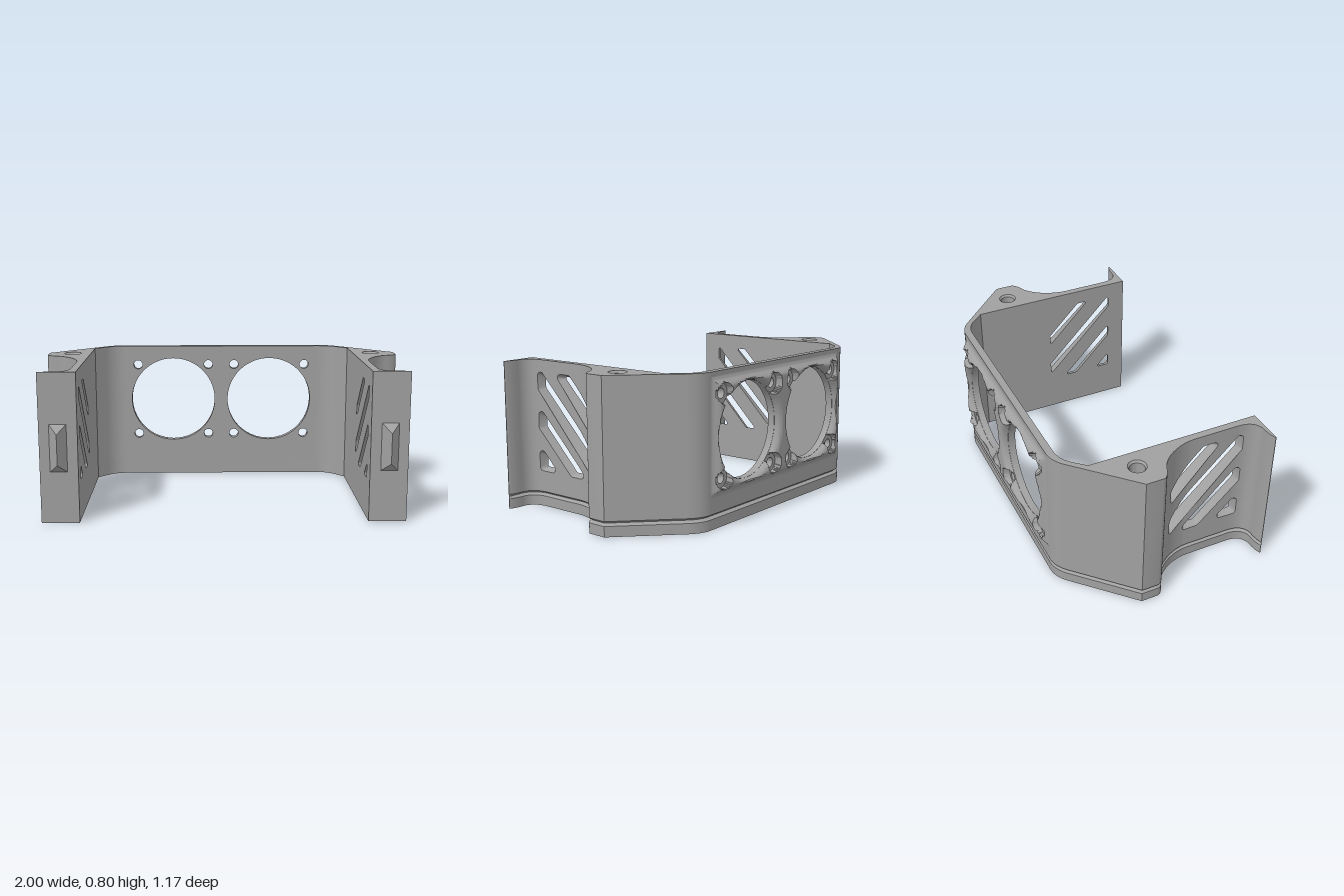
import * as THREE from 'three';
import { toCreasedNormals } from 'three/addons/utils/BufferGeometryUtils.js';
import { ConvexGeometry } from 'three/addons/geometries/ConvexGeometry.js';

const V = (x, y) => new THREE.Vector2(x, y);
const HEIGHT = 0.8, GROOVE = [0.055, 0.067, 0.08], INNER_X = 0.76;
const FAN = { x: 0.295, y: 0.47, r: 0.255, screw: 0.216, screwR: 0.027, boreR: 0.05 };
const BOLT = { x: 0.865, z: -0.19, r: 0.048 };

// Plan outline (x, z) of the outer face, from the back corner to the flange tip
const outerPath = new THREE.Path().moveTo(0.59, -0.55)
  .quadraticCurveTo(0.66, -0.55, 0.72, -0.485)
  .lineTo(1, -0.21).lineTo(1, -0.115)
  .quadraticCurveTo(0.995, -0.088, 0.93, -0.065)
  .bezierCurveTo(0.87, -0.04, 0.8, 0.06, 0.8, 0.165)
  .lineTo(0.8, 0.42)
  .quadraticCurveTo(0.805, 0.505, 0.87, 0.515)
  .quadraticCurveTo(0.93, 0.515, 0.96, 0.532);
const OUTER = outerPath.getPoints(10);
const INNER = new THREE.Path().moveTo(INNER_X, -0.4).lineTo(0.7, -0.465)
  .quadraticCurveTo(0.655, -0.51, 0.59, -0.51).getPoints(8);

// x of the outer face at a given z (front of the corner only)
function outerX(z) {
  for (let i = 1; i < OUTER.length; i++) {
    const a = OUTER[i - 1], b = OUTER[i];
    if (a.y > -0.12 && z >= a.y && z <= b.y && b.y > a.y) return a.x + (b.x - a.x) * (z - a.y) / (b.y - a.y);
  }
  return 0.8;
}

const finish = (g, crease = 0.5) => {
  const out = toCreasedNormals(g, crease);
  out.clearGroups();
  return out;
};

// Geometry from a list of four-cornered faces
function fromQuads(quads) {
  const pos = quads.flatMap(([a, b, c, d]) => [...a, ...b, ...c, ...a, ...c, ...d]);
  const g = new THREE.BufferGeometry();
  g.setAttribute('position', new THREE.Float32BufferAttribute(pos, 3));
  return finish(g);
}

// Mirror across x = 0 and restore the winding
function mirrored(g) {
  const m = g.clone().scale(-1, 1, 1);
  for (const at of Object.values(m.attributes)) {
    const n = at.itemSize, a = at.array;
    for (let i = 0; i < a.length; i += 3 * n)
      for (let k = 0; k < n; k++) [a[i + n + k], a[i + 2 * n + k]] = [a[i + 2 * n + k], a[i + n + k]];
  }
  return m;
}

const circleHole = (x, y, r, n) =>
  new THREE.Path(Array.from({ length: n }, (_, i) => V(x + r * Math.cos(i / n * 2 * Math.PI), y + r * Math.sin(i / n * 2 * Math.PI))));

// Upright prism over a plan outline
function prism(plan, y0, y1, bolt) {
  const s = new THREE.Shape(plan.map(p => V(p.x, -p.y)));
  if (bolt) s.holes.push(circleHole(BOLT.x, -BOLT.z, BOLT.r, 32));
  return finish(new THREE.ExtrudeGeometry(s, { depth: y1 - y0, bevelEnabled: false }).rotateX(-Math.PI / 2).translate(0, y0, 0));
}

// V groove running round the outer face
function grooveGeometry(outer, inner) {
  const inset = outer.map((p, i) => {
    const t = outer[Math.min(i + 1, outer.length - 1)].clone().sub(outer[Math.max(i - 1, 0)]).normalize();
    return V(i ? p.x - t.y * 0.018 : 0, Math.min(p.y + t.x * 0.018, 0.535));
  });
  const full = [...outer, ...inner], cut = [...inset, ...inner], quads = [];
  [[full, cut], [cut, full]].forEach(([lo, hi], k) => {
    for (let i = 0; i + 1 < full.length; i++) {
      const a = p => [p.x, GROOVE[k], p.y], b = p => [p.x, GROOVE[k + 1], p.y];
      quads.push([a(lo[i]), b(hi[i]), b(hi[i + 1]), a(lo[i + 1])]);
    }
  });
  return fromQuads(quads);
}

// Diagonal slot outlines (z, y) with rounded corners; inset shrinks them
function slotOutlines(inset, r) {
  const L = 0.45 - inset, R = 0.02 + inset, T = 0.735 - inset, B = 0.195 + inset, k = inset * Math.SQRT2;
  const band = (lo, hi, f) => f(lo + k, hi - k);
  const slots = [
    band(0.405, 0.517, (a, b) => [V(T - a, T), V(T - b, T), V(R, R + b), V(R, R + a)]),
    band(0.188, 0.312, (a, b) => [V(L, L + b), V(R, R + b), V(R, R + a), V(L, L + a)]),
    band(-0.022, 0.1, (a, b) => [V(L, L + b), V(B - b, B), V(B - a, B), V(L, L + a)]),
    band(-1, -0.115, (a, b) => [V(L, L + b), V(B - b, B), V(L, B)]),
  ];
  return slots.map(c => c.flatMap((p, i) => {
    const normal = (a, b) => { const d = b.clone().sub(a).normalize(); return V(d.y, -d.x); };
    const n1 = normal(c[(i + c.length - 1) % c.length], p), n2 = normal(p, c[(i + 1) % c.length]);
    const mid = p.clone().addScaledVector(n1.clone().add(n2), -r / (1 + n1.dot(n2)));
    const turn = (n2.angle() - n1.angle() + 2 * Math.PI) % (2 * Math.PI);
    return Array.from({ length: 7 }, (_, j) => {
      const t = n1.angle() + turn * j / 6;
      return V(mid.x + r * Math.cos(t), mid.y + r * Math.sin(t));
    });
  }));
}

// Lowest and highest y of a convex outline at z
function span(poly, z) {
  const zs = poly.map(p => p.x), ys = [];
  z = Math.min(Math.max(z, Math.min(...zs)), Math.max(...zs));
  poly.forEach((a, i) => {
    const b = poly[(i + 1) % poly.length];
    if (z < Math.min(a.x, b.x) || z > Math.max(a.x, b.x)) return;
    if (Math.abs(b.x - a.x) < 1e-9) ys.push(a.y, b.y);
    else ys.push(a.y + (b.y - a.y) * (z - a.x) / (b.x - a.x));
  });
  return [Math.min(...ys), Math.max(...ys)];
}

// Slotted side panel: outer and inner skins in vertical strips, tapered slot walls
function panelGeometry(z0, z1) {
  const quads = [], out = slotOutlines(0, 0.02), inn = slotOutlines(0.017, 0.008);
  const curve = OUTER.map(p => p.y).filter(z => z > z0 && z < z1);
  const skin = (holes, xAt, flip) => {
    const cuts = [z0, z1, ...curve, ...holes.flat().map(p => p.x)].sort((a, b) => a - b).filter((z, i, s) => !i || z - s[i - 1] > 1e-5);
    for (let i = 0; i + 1 < cuts.length; i++) {
      const a = cuts[i], b = cuts[i + 1], m = (a + b) / 2;
      const hit = holes.filter(h => h.some(p => p.x < m) && h.some(p => p.x > m)).sort((p, q) => span(p, m)[0] - span(q, m)[0]);
      const ya = [GROOVE[2], ...hit.flatMap(h => span(h, a)), HEIGHT], yb = [GROOVE[2], ...hit.flatMap(h => span(h, b)), HEIGHT];
      for (let k = 0; k < ya.length; k += 2) {
        const q = [[xAt(a), ya[k], a], [xAt(a), ya[k + 1], a], [xAt(b), yb[k + 1], b], [xAt(b), yb[k], b]];
        quads.push(flip ? q.reverse() : q);
      }
      if (!flip) quads.push([[INNER_X, HEIGHT, a], [INNER_X, HEIGHT, b], [xAt(b), HEIGHT, b], [xAt(a), HEIGHT, a]]);
    }
  };
  skin(out, outerX, false);
  skin(inn, () => INNER_X, true);
  out.forEach((poly, s) => poly.forEach((p, i) => {
    const j = (i + 1) % poly.length, o = q => [outerX(q.x), q.y, q.x], n = q => [INNER_X, q.y, q.x];
    quads.push([o(p), n(inn[s][i]), n(inn[s][j]), o(poly[j])]);
  }));
  return fromQuads(quads);
}

const fans = [-FAN.x, FAN.x].map(x => V(x, FAN.y));
const screws = fans.flatMap(f => [[1, 1], [1, -1], [-1, 1], [-1, -1]].map(([a, b]) => V(f.x + a * FAN.screw, f.y + b * FAN.screw)));
const nearest = (list, p) => list.reduce((a, b) => (a.distanceTo(p) < b.distanceTo(p) ? a : b));

// Raised pad behind the wall: a height rule with flared openings and counterbores
function padGeometry() {
  const nx = 160, ny = 82, h = 0.0075, pos = [], inside = [], index = [];
  for (let j = 0; j <= ny; j++) for (let i = 0; i <= nx; i++) {
    const p = V((i - nx / 2) * h, FAN.y + (j - ny / 2) * h);
    const f = nearest(fans, p), s = nearest(screws, p);
    const snap = (c, r) => p.sub(c).setLength(r).add(c);
    const rf = p.distanceTo(f), rs = p.distanceTo(s);
    inside.push(rf < FAN.r || rs < FAN.screwR);
    if (rf < FAN.r && rf > 0) snap(f, FAN.r);
    else if (rs < FAN.screwR && rs > 0) snap(s, FAN.screwR);
    else if (Math.abs(rs - FAN.boreR) < h * 0.55) snap(s, FAN.boreR);
    const edge = THREE.MathUtils.smoothstep(Math.min(0.592 - Math.abs(p.x), 0.302 - Math.abs(p.y - FAN.y)), 0, 0.05);
    const t = Math.min(Math.max((p.distanceTo(f) - FAN.r) / 0.035, 0), 1);
    const flare = Math.sqrt(1 - (1 - t) ** 2);
    const bore = p.distanceTo(s) < FAN.boreR + 1e-4 ? 0 : 1;
    pos.push(p.x, p.y, -0.551 - 0.037 * Math.min(edge, flare, bore));
  }
  for (let j = 0; j < ny; j++) for (let i = 0; i < nx; i++) {
    const a = j * (nx + 1) + i, b = a + 1, c = a + nx + 1, d = c + 1;
    if (![a, b, c, d].every(k => inside[k])) index.push(a, c, d, a, d, b);
  }
  const g = new THREE.BufferGeometry();
  g.setAttribute('position', new THREE.Float32BufferAttribute(pos, 3));
  g.setIndex(index);
  return finish(g, 0.7);
}

export function createModel() {
  const model = new THREE.Group();
  const grey = new THREE.MeshStandardMaterial({ color: 0xa0a0a0 });
  grey.name = 'grey plastic';
  const add = (name, g) => {
    const mesh = new THREE.Mesh(g, grey);
    mesh.name = name;
    model.add(mesh);
  };
  const addPair = (name, g) => { add(name + 'Left', g); add(name + 'Right', mirrored(g)); };

  // Back wall with fan openings and screw holes
  const wall = new THREE.Shape([V(-0.59, GROOVE[2]), V(0.59, GROOVE[2]), V(0.59, HEIGHT), V(-0.59, HEIGHT)]);
  fans.forEach(f => wall.holes.push(circleHole(f.x, f.y, FAN.r, 72)));
  screws.forEach(s => wall.holes.push(circleHole(s.x, s.y, FAN.screwR, 20)));
  add('backWall', finish(new THREE.ExtrudeGeometry(wall, { depth: 0.04, bevelEnabled: false }).translate(0, 0, -0.55)));
  add('fanPad', padGeometry());

  // Foot rail and groove
  const outer = [V(0, -0.55), ...OUTER], inner = [V(0.96, 0.535), V(INNER_X, 0.535), ...INNER, V(0, -0.51)];
  addPair('footRail', prism([...outer, ...inner], 0, GROOVE[0], true));
  addPair('groove', grooveGeometry(outer, inner));

  // Corner block, slotted side and front flange
  const z0 = 0, z1 = 0.46;
  addPair('cornerBlock', prism([...OUTER.filter(p => p.y < z0), V(outerX(z0), z0), V(INNER_X, z0), ...INNER], GROOVE[2], HEIGHT, true));
  addPair('slottedSide', panelGeometry(z0, z1));
  addPair('frontFlange', prism([V(outerX(z1), z1), ...OUTER.filter(p => p.y > z1), V(0.96, 0.535), V(INNER_X, 0.535), V(INNER_X, z1)], GROOVE[2], HEIGHT, false));

  // Blind bolt holes, top and bottom
  const bore = pts => finish(new THREE.LatheGeometry(pts, 32).translate(BOLT.x, 0, BOLT.z));
  addPair('topBoltHole', bore([V(BOLT.r, HEIGHT), V(0.039, 0.788), V(0.039, 0.7), V(0, 0.7)]));
  addPair('bottomBoltHole', bore([V(0, 0.05), V(0.039, 0.05), V(0.039, 0.012), V(BOLT.r, 0)]));

  // Hipped locating ridge on each flange
  const ridge = [[0.815, 0.275], [0.907, 0.275], [0.815, 0.53], [0.907, 0.53]].map(([x, y]) => new THREE.Vector3(x, y, 0.534));
  ridge.push(new THREE.Vector3(0.861, 0.322, 0.586), new THREE.Vector3(0.861, 0.483, 0.586));
  addPair('locatingRidge', finish(new ConvexGeometry(ridge), 0.3));

  return model;
}
